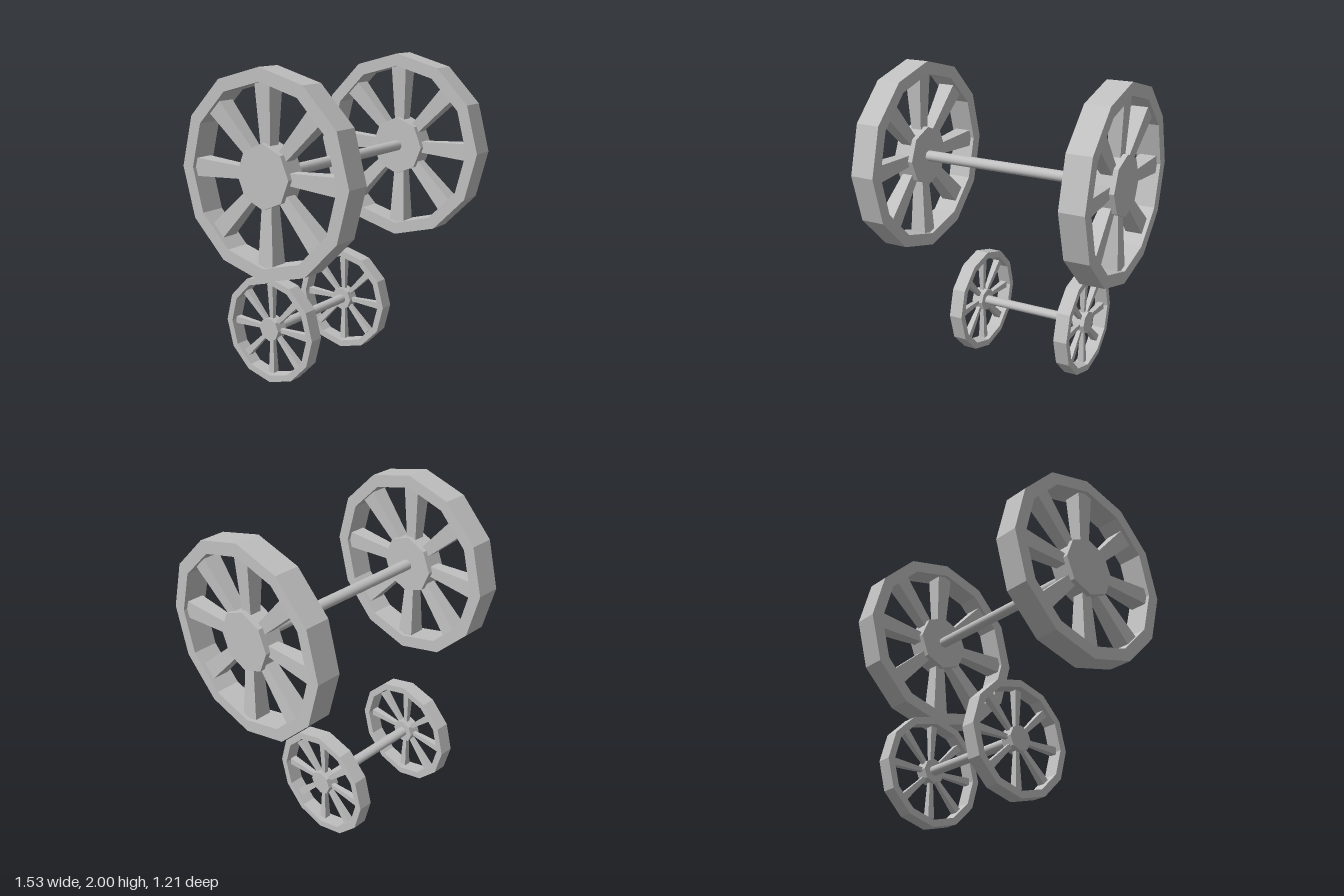
import * as THREE from 'three';

const grey = new THREE.MeshStandardMaterial({ color: 0xc0c0c0 });
grey.name = 'grey metal';

function part(name, geometry) {
  const mesh = new THREE.Mesh(geometry, grey);
  mesh.name = name;
  return mesh;
}

// Faceted version of a geometry, one normal per face
function flat(geometry) {
  const g = geometry.toNonIndexed();
  g.computeVertexNormals();
  return g;
}

// Regular polygon with one corner straight up
function polygon(radius, sides) {
  return Array.from({ length: sides }, (_, i) => {
    const a = Math.PI / 2 + (i / sides) * Math.PI * 2;
    return new THREE.Vector2(Math.cos(a) * radius, Math.sin(a) * radius);
  });
}

// Wheel lying in the xy plane, axle along z
function makeWheel(p) {
  const wheel = new THREE.Group();

  // Twelve-sided rim
  const ring = new THREE.Shape(polygon(p.outer, 12));
  ring.holes.push(new THREE.Path(polygon(p.inner, 12)));
  const rim = new THREE.ExtrudeGeometry(ring, { depth: p.width, bevelEnabled: false });
  rim.translate(0, 0, -p.width / 2);
  wheel.add(part('rim', rim));

  // Eight-sided hub
  const hub = new THREE.CylinderGeometry(p.hub, p.hub, p.hubWidth, 8);
  hub.rotateX(Math.PI / 2);
  wheel.add(part('hub', flat(hub)));

  // Square spokes that widen towards the rim
  const start = p.hub * 0.85;
  const length = p.spokeEnd - start;
  const spoke = new THREE.CylinderGeometry(p.spokeWide * Math.SQRT1_2, p.spokeThin * Math.SQRT1_2, length, 4);
  spoke.rotateY(Math.PI / 4);
  spoke.translate(0, start + length / 2, 0);
  const spokeGeometry = flat(spoke);
  for (let i = 0; i < 8; i++) {
    const mesh = part('spoke', spokeGeometry);
    mesh.rotation.z = (i / 8) * Math.PI * 2;
    wheel.add(mesh);
  }
  return wheel;
}

// Pair of wheels joined by a round axle
function makeWheelset(name, p) {
  const set = new THREE.Group();
  set.name = name;
  for (const side of [-1, 1]) {
    const wheel = makeWheel(p);
    wheel.name = side > 0 ? 'leftWheel' : 'rightWheel';
    wheel.position.x = side * p.x;
    wheel.rotation.y = Math.PI / 2 + side * 0.008; // slight toe-out
    set.add(wheel);
  }
  const axle = new THREE.CylinderGeometry(p.axle, p.axle, p.x * 2, 20);
  axle.rotateZ(Math.PI / 2);
  axle.scale(1, p.axleFlat, 1);
  set.add(part('axle', axle));
  set.position.set(0, p.y, p.z);
  return set;
}

export function createModel() {
  const model = new THREE.Group();
  model.name = 'wheelsets';
  model.add(
    makeWheelset('largeWheelset', {
      x: 0.68, y: 1.395, z: 0, outer: 0.605, inner: 0.526, width: 0.157,
      hub: 0.188, hubWidth: 0.135, spokeEnd: 0.528, spokeThin: 0.07, spokeWide: 0.11,
      axle: 0.038, axleFlat: 0.88,
    }),
    makeWheelset('smallWheelset', {
      x: 0.379, y: 0.347, z: -0.258, outer: 0.346, inner: 0.303, width: 0.09,
      hub: 0.075, hubWidth: 0.078, spokeEnd: 0.288, spokeThin: 0.025, spokeWide: 0.044,
      axle: 0.034, axleFlat: 0.85,
    }),
  );
  return model;
}
